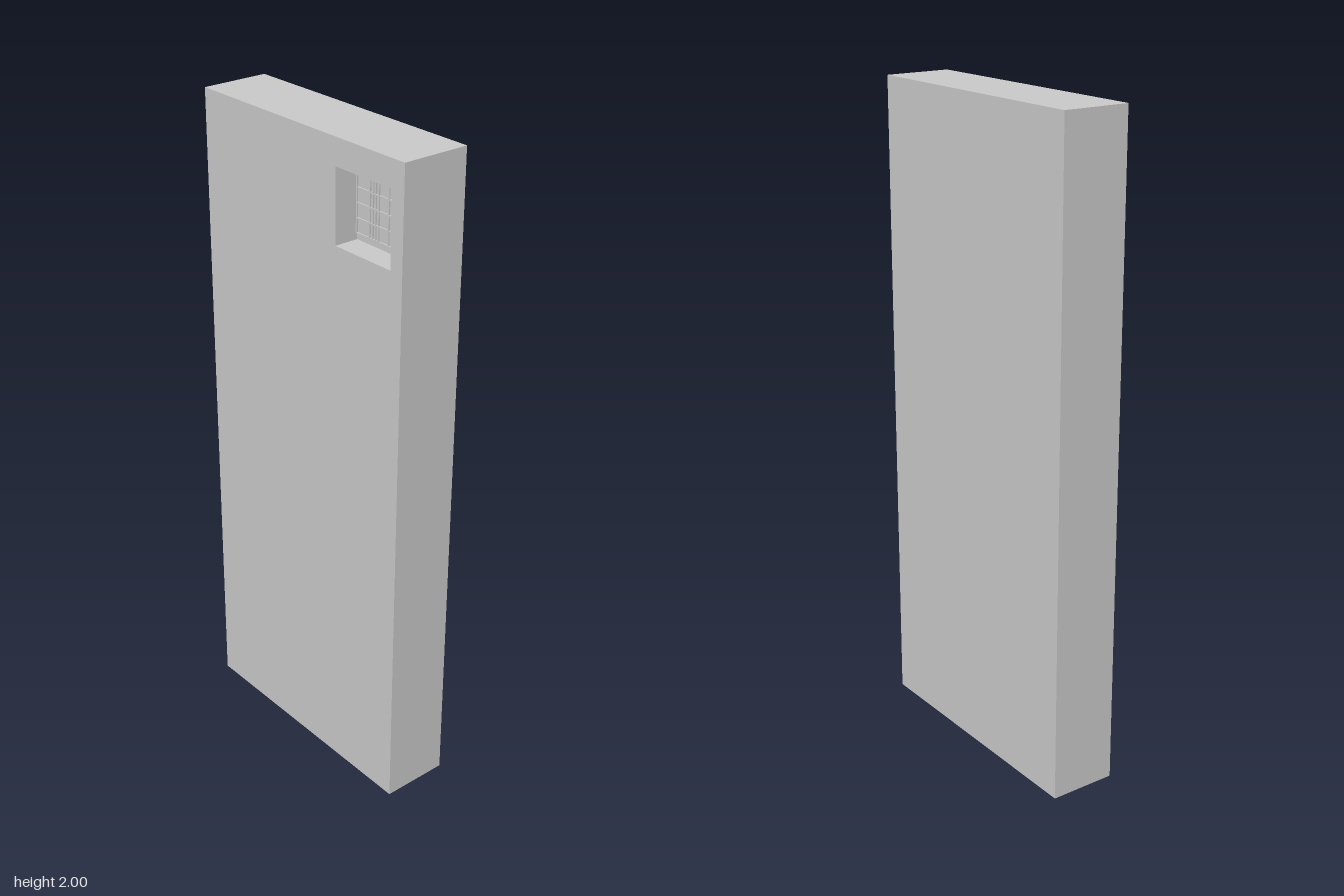
import * as THREE from 'three';

export function createModel() {
  const model = new THREE.Group();
  const material = new THREE.MeshStandardMaterial({ color: 0xcccccc, flatShading: true });
  const W = 0.832, H = 2, D = 0.208, recess = 0.075;

  const add = (name, geometry, x, y, z, parent = model) => {
    const mesh = new THREE.Mesh(geometry, material);
    mesh.name = name;
    mesh.position.set(x, y, z);
    parent.add(mesh);
    return mesh;
  };
  const rectangle = (Type, x0, y0, x1, y1) => {
    const path = new Type();
    path.moveTo(x0, y0);
    path.lineTo(x1, y0);
    path.lineTo(x1, y1);
    path.lineTo(x0, y1);
    path.closePath();
    return path;
  };

  // Front layer of the slab, pierced by the square window recess
  const face = rectangle(THREE.Shape, -W / 2, 0, W / 2, H);
  face.holes.push(rectangle(THREE.Path, 0.153, 1.704, 0.371, 1.921));
  add('doorFront', new THREE.ExtrudeGeometry(face, { depth: recess, bevelEnabled: false }), 0, 0, D / 2 - recess);

  // Solid back layer that closes the recess
  add('doorBack', new THREE.BoxGeometry(W, H, D - recess), 0, H / 2, -recess / 2);

  // Thin crossed bars inside the recess, with uneven upright spacing
  const grille = new THREE.Group();
  grille.name = 'windowGrille';
  model.add(grille);
  const left = 0.164, right = 0.358, bottom = 1.728, top = 1.897, bar = 0.004;
  const z = D / 2 - 0.064;
  for (const x of [left, 0.216, 0.228, 0.239, 0.251, 0.29, 0.311, 0.332, 0.342, right]) {
    add('uprightBar', new THREE.BoxGeometry(bar, top - bottom, bar), x, (top + bottom) / 2, z, grille);
  }
  for (let i = 0; i < 5; i++) {
    const y = bottom + (i * (top - bottom)) / 4;
    add('crossBar', new THREE.BoxGeometry(right - left, bar, bar), (left + right) / 2, y, z, grille);
  }

  return model;
}
